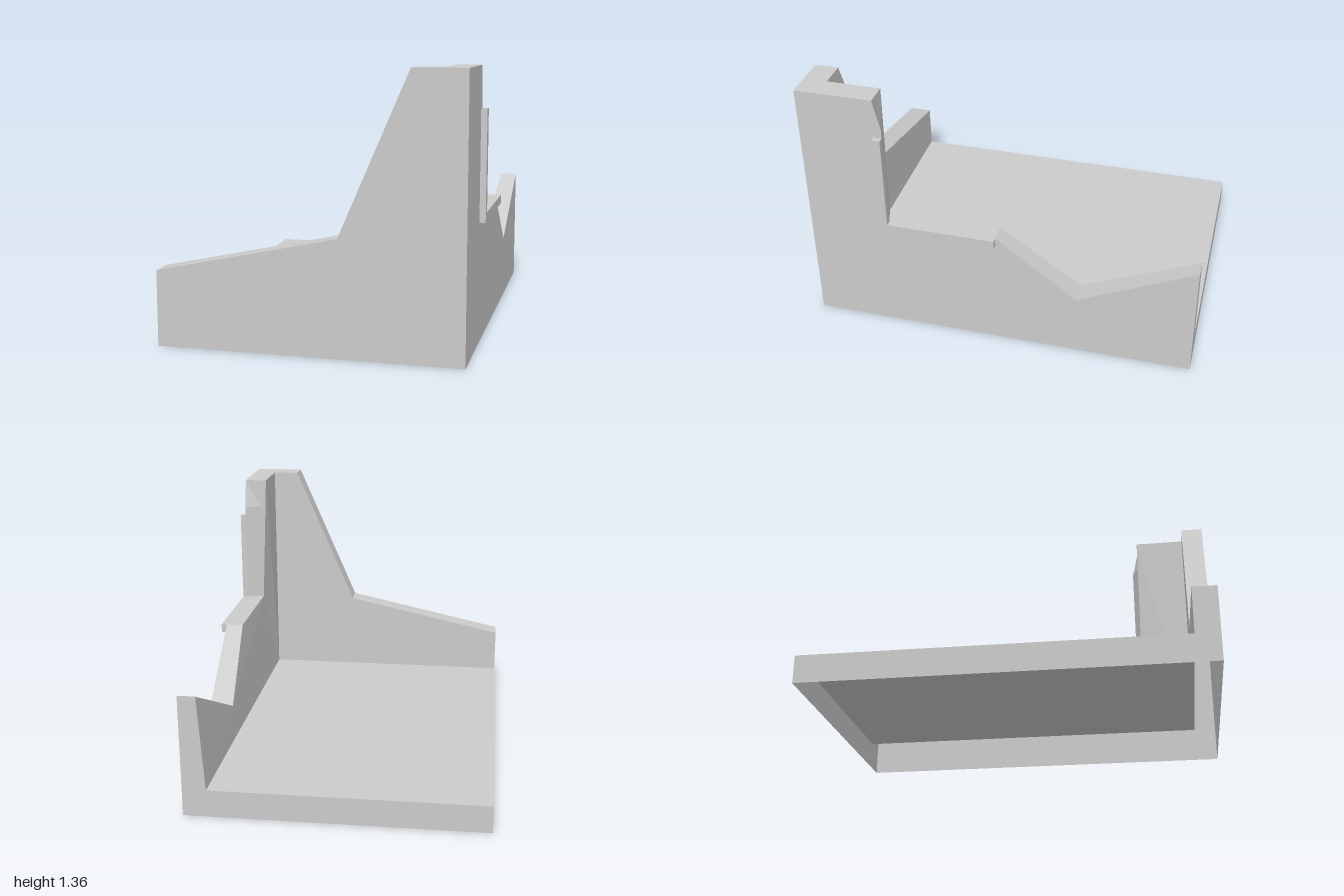
import * as THREE from 'three';
import { mergeGeometries } from 'three/addons/utils/BufferGeometryUtils.js';

const L = -0.765, R = 0.735, FRONT = 1, BACK = -1;
const INNER_X = 0.615, INNER_Z = 0.88, FLOOR = 0.14, TOP = 1.355;

const material = new THREE.MeshStandardMaterial({
  color: 0xcccccc, flatShading: true, side: THREE.DoubleSide,
});

function fromTriangles(points) {
  const g = new THREE.BufferGeometry();
  g.setAttribute('position', new THREE.Float32BufferAttribute(points.flat(), 3));
  g.computeVertexNormals();
  return g;
}

// Fills a polygon of 3D corners, triangulated in the plane given by axes u and v.
function polygon(corners, u, v, flip = false) {
  const flat = corners.map((c) => new THREE.Vector2(c[u], c[v]));
  const tris = THREE.ShapeUtils.triangulateShape(flat, []);
  return fromTriangles(tris.flatMap(([a, b, c]) =>
    (flip ? [a, c, b] : [a, b, c]).map((i) => corners[i])));
}

// Joins two matching rows of points with quads.
function strip(outer, inner) {
  const tris = [];
  for (let i = 0; i < outer.length - 1; i++) {
    tris.push(outer[i], outer[i + 1], inner[i + 1], outer[i], inner[i + 1], inner[i]);
  }
  return fromTriangles(tris);
}

function part(name, geometries) {
  const mesh = new THREE.Mesh(mergeGeometries(geometries), material);
  mesh.name = name;
  return mesh;
}

// Broken front wall rising to the corner
function frontWall() {
  const edge = [[L, FLOOR], [L, 0.375], [0.135, 0.57], [0.475, TOP]];
  const outer = [...edge.map(([x, y]) => [x, y, FRONT]), [R, TOP, FRONT]];
  const inner = [...edge.map(([x, y]) => [x, y, INNER_Z]), [INNER_X, TOP, INNER_Z]];
  return part('frontWall', [
    polygon([[R, 0, FRONT], [R, TOP, FRONT], ...outer.slice(0, -1).reverse(), [L, 0, FRONT]], 0, 1),
    polygon([[INNER_X, FLOOR, INNER_Z], ...[...inner].reverse()], 0, 1, true),
    strip(outer, inner),
  ]);
}

// Broken side wall with half a window opening; its inner face leans slightly
function sideWall() {
  const outer = [
    [R, TOP, FRONT], [R, TOP, 0.605], [R, 1.2, 0.57], [R, 0.65, 0.57],
    [R, 0.65, 0.015], [R, 0.335, -0.4], [R, 0.625, BACK], [R, FLOOR, BACK],
  ];
  const inner = [
    [INNER_X, TOP, INNER_Z], [INNER_X, TOP, 0.605], [0.645, 1.2, 0.6], [0.645, 0.65, 0.6],
    [0.645, 0.65, 0.015], [INNER_X, 0.335, -0.4], [0.645, 0.625, BACK], [INNER_X, FLOOR, BACK],
  ];
  return part('sideWall', [
    polygon([[R, 0, FRONT], ...outer, [R, 0, BACK]], 2, 1),
    polygon([[INNER_X, FLOOR, INNER_Z], ...inner], 2, 1, true),
    strip(outer, inner),
  ]);
}

// Floor with its two exposed edges; the underside is open
function floor() {
  return part('floor', [
    strip([[L, FLOOR, INNER_Z], [INNER_X, FLOOR, INNER_Z]], [[L, FLOOR, BACK], [INNER_X, FLOOR, BACK]]),
    strip([[R, 0, BACK], [L, 0, BACK]], [[R, FLOOR, BACK], [L, FLOOR, BACK]]),
    strip([[L, 0, BACK], [L, 0, FRONT]], [[L, FLOOR, BACK], [L, FLOOR, FRONT]]),
  ]);
}

// Raised L-shaped trim around the remains of the window
function windowTrim() {
  const shape = new THREE.Shape([
    [-0.615, 1.15], [-0.615, 0.605], [-0.015, 0.605],
    [-0.015, 0.65], [-0.57, 0.65], [-0.57, 1.15],
  ].map(([x, y]) => new THREE.Vector2(x, y)));
  const g = new THREE.ExtrudeGeometry(shape, { depth: 0.03, bevelEnabled: false });
  g.rotateY(Math.PI / 2).translate(R, 0, 0);
  return part('windowTrim', [g]);
}

export function createModel() {
  const model = new THREE.Group();
  model.name = 'ruinedCorner';
  model.add(frontWall(), sideWall(), floor(), windowTrim());
  return model;
}
